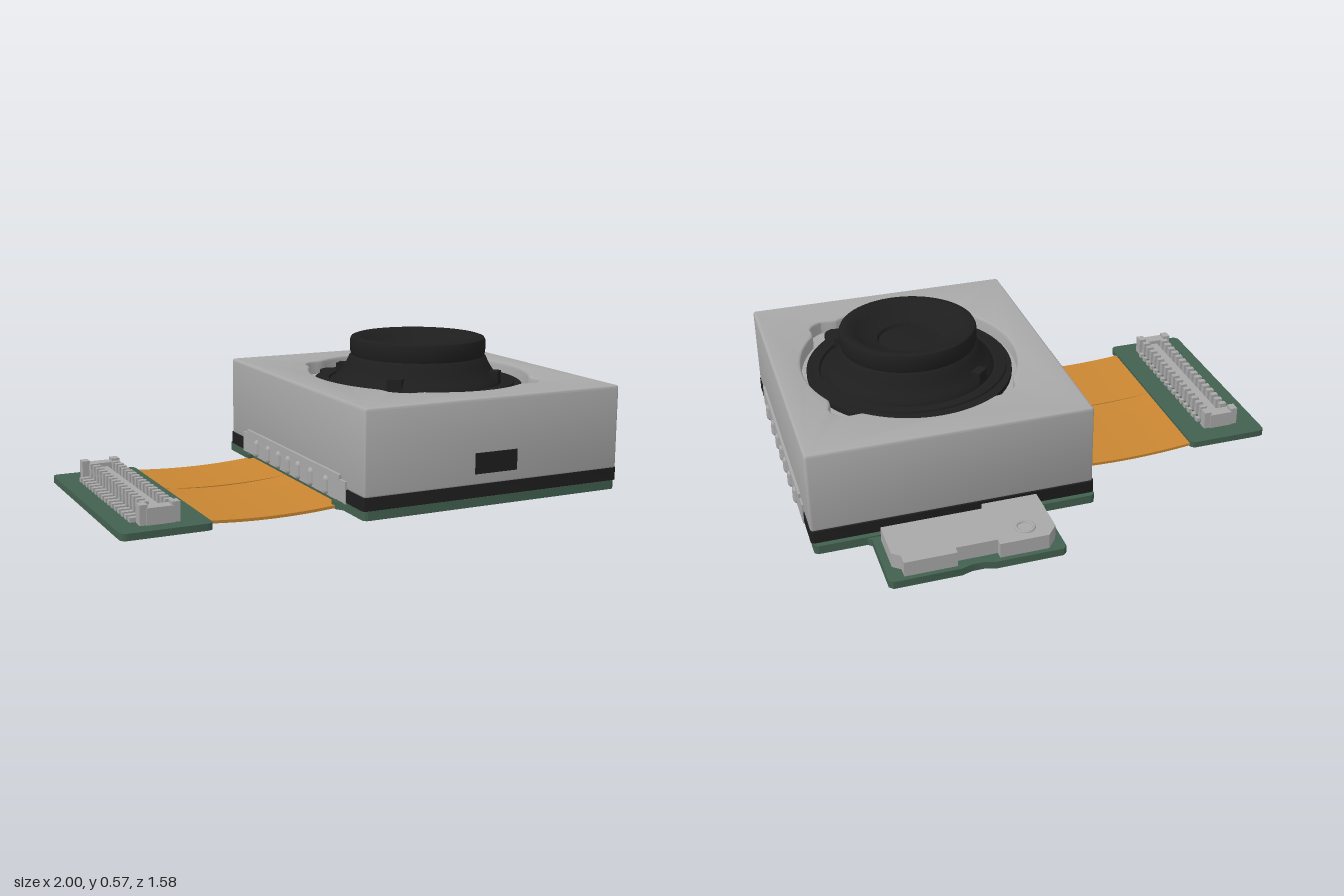
import * as THREE from 'three';
import { toCreasedNormals } from 'three/addons/utils/BufferGeometryUtils.js';

const mat = (name, color) => {
  const m = new THREE.MeshStandardMaterial({ color });
  m.name = name;
  return m;
};

export function createModel() {
  const silver = mat('silver metal', 0xa8a8a8);
  const black = mat('black plastic', 0x1e1e1e);
  const green = mat('green board', 0x42604f);
  const orange = mat('orange flex', 0xc98632);

  const model = new THREE.Group();
  model.name = 'cameraModule';

  const add = (name, geo, material, x = 0, y = 0, z = 0, parent = model) => {
    const mesh = new THREE.Mesh(geo, material);
    mesh.name = name;
    mesh.position.set(x, y, z);
    parent.add(mesh);
    return mesh;
  };
  // box given by its limits
  const block = (name, material, x0, x1, y0, y1, z0, z1, parent) =>
    add(name, new THREE.BoxGeometry(x1 - x0, y1 - y0, z1 - z0), material,
      (x0 + x1) / 2, (y0 + y1) / 2, (z0 + z1) / 2, parent);

  // plan outlines use (x, z); the shape's y is -z
  const outline = (pts) => new THREE.Shape(pts.map(([x, z]) => new THREE.Vector2(x, -z)));
  const roundRect = (x0, x1, z0, z1, r) => {
    const s = new THREE.Shape();
    s.absarc(x1 - r, -z0 - r, r, 0, Math.PI / 2);
    s.absarc(x0 + r, -z0 - r, r, Math.PI / 2, Math.PI);
    s.absarc(x0 + r, -z1 + r, r, Math.PI, Math.PI * 1.5);
    s.absarc(x1 - r, -z1 + r, r, Math.PI * 1.5, Math.PI * 2);
    return s;
  };
  // horizontal slab from a plan outline, with an optional rounded edge
  const slab = (shape, y0, y1, bevel = 0) => {
    const geo = new THREE.ExtrudeGeometry(shape, {
      depth: y1 - y0 - 2 * bevel, bevelEnabled: bevel > 0, bevelSize: bevel,
      bevelThickness: bevel, bevelOffset: -bevel, bevelSegments: 3, curveSegments: 6,
    });
    geo.rotateX(-Math.PI / 2).translate(0, y0 + bevel, 0);
    return toCreasedNormals(geo, 0.6);
  };

  // ---- circuit boards ----
  add('mainBoard', slab(roundRect(-0.135, 0.975, -0.5, 0.785, 0.02), 0.01, 0.045), green);
  add('rearTab', slab(outline([
    [0.06, -0.49], [0.085, -0.515], [0.085, -0.775], [0.1, -0.79], [0.36, -0.79], [0.4, -0.777],
    [0.45, -0.777], [0.49, -0.79], [0.745, -0.79], [0.76, -0.775], [0.76, -0.515], [0.785, -0.49],
  ].reverse()), 0.01, 0.04), green);
  add('connectorBoard', slab(roundRect(-1, -0.66, -0.255, 0.66, 0.025), 0.012, 0.038), green);
  for (const [z, s] of [[-0.25, -1], [0.59, 1]]) {
    add('boardFillet', slab(outline([[-0.16, z - s * 0.02], [-0.155, z + s * 0.01],
      [-0.13, z + s * 0.05], [-0.13, z - s * 0.02]]), 0.012, 0.042), green);
  }

  // ---- sagging flex cable, middle strip a little lower ----
  const flex = new THREE.Group();
  flex.name = 'flexCable';
  model.add(flex);
  for (const [z0, z1, drop] of [[-0.245, 0.1, 0], [0.1, 0.21, 0.004], [0.21, 0.592, 0]]) {
    const geo = new THREE.BoxGeometry(0.54, 0.011, z1 - z0, 24, 1, 1);
    const p = geo.attributes.position;
    for (let i = 0; i < p.count; i++) {
      const t = p.getX(i) / 0.27;
      p.setY(i, p.getY(i) + 0.01 + 0.013 * t * t - drop * (1 - t * t));
      if (z0 < 0 && p.getZ(i) < 0) p.setZ(i, p.getZ(i) - 0.006 * t);
    }
    geo.computeVertexNormals();
    add('flexStrip', toCreasedNormals(geo, 0.6), orange, -0.395, 0, (z0 + z1) / 2, flex);
  }

  // ---- housing with lobed opening ----
  const CX = 0.437, CZ = 0.155;
  const lobed = (rx, rz, lobes, width) => {
    const pts = [];
    for (let i = 0; i < 120; i++) {
      const a = (i / 120) * Math.PI * 2;
      let r = (rx * rz) / Math.hypot(rz * Math.cos(a), rx * Math.sin(a));
      for (const [deg, h] of lobes) {
        const d = a - THREE.MathUtils.degToRad(deg);
        r += h * Math.exp(-((d / width) ** 4));
      }
      pts.push([CX + r * Math.cos(a), CZ + r * Math.sin(a)]);
    }
    return pts;
  };
  const shell = roundRect(-0.133, 0.98, -0.472, 0.782, 0.012);
  shell.holes.push(new THREE.Path(
    lobed(0.435, 0.49, [[53, 0.05], [127, 0.035], [230, 0.03], [316, 0.06]], 0.13)
      .map(([x, z]) => new THREE.Vector2(x, -z))));
  add('housing', slab(shell, 0.09, 0.422, 0.011), silver);
  block('openingFloor', silver, -0.06, 0.95, 0.3, 0.365, -0.43, 0.72);
  add('blackBase', slab(roundRect(-0.137, 0.982, -0.478, 0.784, 0.015), 0.045, 0.095), black);
  block('frontWindow', black, 0.33, 0.513, 0.135, 0.215, 0.778, 0.786);

  // ---- side panels with solder bumps ----
  for (const [name, x, s] of [['leftContacts', 0.98, 1], ['rightContacts', -0.135, -1]]) {
    const side = new THREE.Group();
    side.name = name;
    side.position.x = x;
    side.scale.x = s;
    model.add(side);
    block('contactPanel', silver, -0.01, 0.006, 0.04, 0.125, -0.33, 0.645, side);
    block('panelLip', silver, -0.01, 0.01, 0.125, 0.142, -0.28, 0.6, side);
    for (const z of [-0.18, -0.06, 0.045, 0.14, 0.235, 0.35, 0.485]) {
      add('contactBump', new THREE.CapsuleGeometry(0.018, 0.04, 4, 12), silver, 0.001, 0.078, z, side);
    }
  }

  // ---- lens ----
  add('lensFlange', slab(outline(
    lobed(0.415, 0.452, [[58, 0.045], [122, 0.045], [241, 0.035], [302, 0.03]], 0.1)), 0.36, 0.385), black);
  const profile = [
    [0.4, 0.38], [0.395, 0.392], [0.365, 0.395], [0.36, 0.385], [0.345, 0.385], [0.34, 0.4],
    [0.322, 0.415], [0.305, 0.44], [0.29, 0.465], [0.28, 0.488], [0.272, 0.495], [0.277, 0.51],
    [0.277, 0.555], [0.272, 0.566], [0.26, 0.57], [0.235, 0.568], [0.21, 0.55], [0.17, 0.527],
    [0.125, 0.515], [0.118, 0.503], [0.06, 0.509], [0, 0.511],
  ].map(([r, y]) => new THREE.Vector2(r, y));
  add('lensBarrel', toCreasedNormals(new THREE.LatheGeometry(profile, 72), 0.6), black, CX, 0, CZ);
  for (const deg of [45, 135, 225]) {
    const a = THREE.MathUtils.degToRad(deg);
    add('lensLug', new THREE.BoxGeometry(0.05, 0.06, 0.06), black,
      CX + 0.318 * Math.cos(a), 0.41, CZ + 0.318 * Math.sin(a)).rotation.y = -a;
  }

  // ---- shield can on the rear tab ----
  add('shieldCan', slab(outline([
    [0.11, -0.5], [0.33, -0.5], [0.34, -0.53], [0.73, -0.53], [0.73, -0.7], [0.7, -0.725], [0.7, -0.77],
    [0.5, -0.77], [0.5, -0.74], [0.34, -0.74], [0.34, -0.77], [0.15, -0.77], [0.11, -0.72],
  ]), 0.035, 0.1), silver);
  const ring = add('shieldRing', new THREE.TorusGeometry(0.034, 0.006, 8, 24), silver, 0.22, 0.1, -0.695);
  ring.rotation.x = Math.PI / 2;

  // ---- board connector with two rows of pins ----
  const plug = new THREE.Group();
  plug.name = 'connector';
  model.add(plug);
  block('connectorCore', silver, -0.845, -0.81, 0.035, 0.085, -0.13, 0.56, plug);
  for (const z of [-0.145, 0.57]) {
    block('connectorEnd', silver, -0.885, -0.785, 0.035, 0.1, z - 0.025, z + 0.025, plug);
    for (const x of [-0.895, -0.775]) {
      block('connectorPost', silver, x - 0.015, x + 0.015, 0.035, 0.112, z - 0.02, z + 0.02, plug);
    }
  }
  for (let i = 0; i < 16; i++) {
    const z = -0.095 + i * 0.0413;
    for (const s of [-1, 1]) {
      const at = (d0, d1, y0, y1) => {
        const a = -0.8275 + s * 0.01 + s * d0, b = -0.8275 + s * 0.01 + s * d1;
        block('pin', silver, Math.min(a, b), Math.max(a, b), y0, y1, z - 0.011, z + 0.011, plug);
      };
      at(0, 0.05, 0.05, 0.065);
      at(0.02, 0.05, 0.065, 0.108);
      at(0.05, s < 0 ? 0.092 : 0.065, 0.037, 0.055);
    }
  }

  return model;
}
